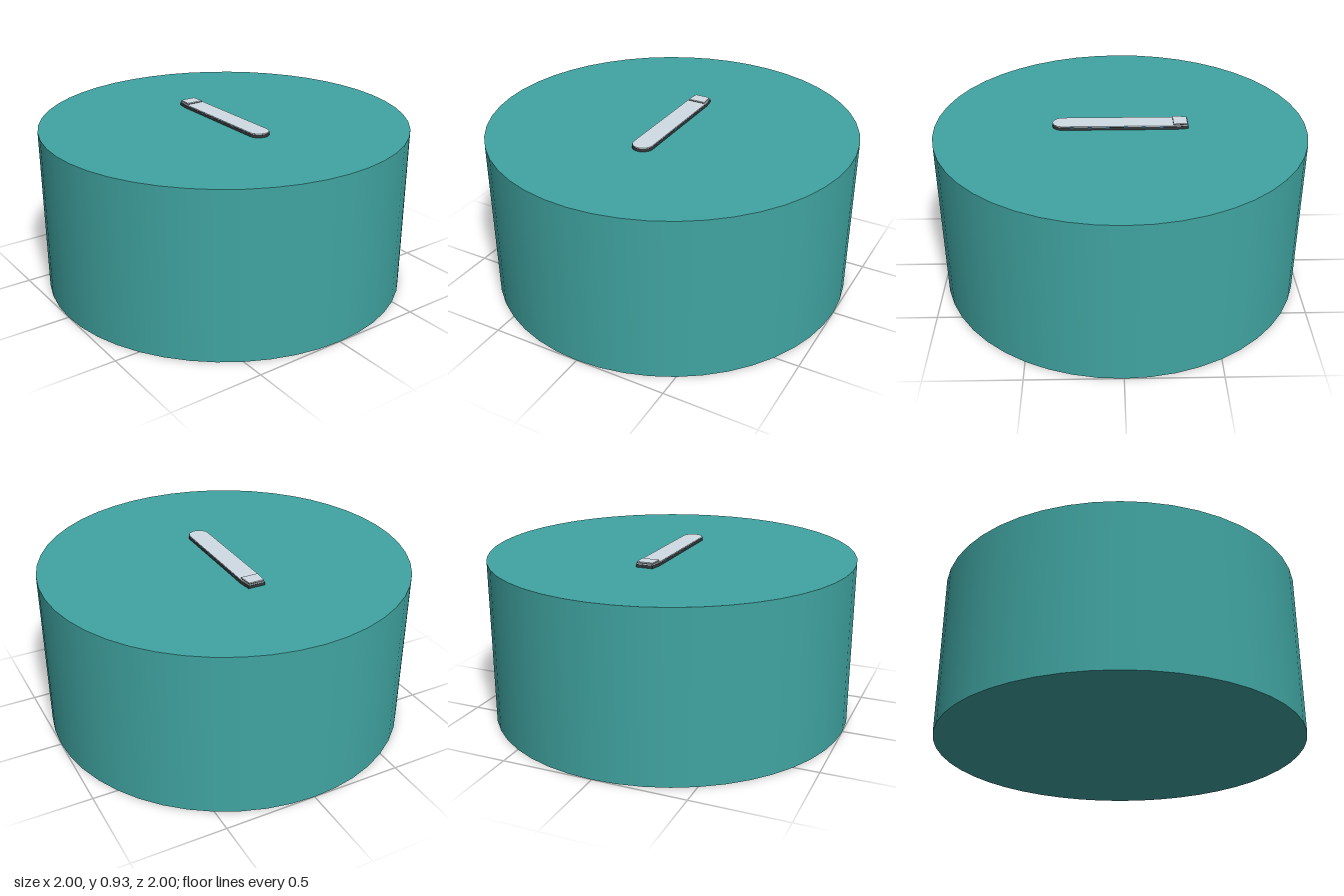
import * as THREE from 'three';

const mat = (color) => new THREE.MeshStandardMaterial({ color });
const WATER = 0.9; // height of the water surface

// Plan outline of the barge: tapered stern at -z, round bow at +z
function outline(inset) {
  const w = 0.057 - inset, stern = 0.366 - inset;
  const s = new THREE.Shape();
  s.moveTo(0.047 - inset, stern); // shape y is -z
  s.lineTo(-0.047 + inset, stern);
  s.lineTo(-w, 0.3);
  s.lineTo(-w, -0.308);
  s.absarc(0, -0.308, w, Math.PI, Math.PI * 2, false);
  s.lineTo(w, 0.3);
  s.closePath();
  return s;
}

// Flat slab extruded upwards from height y
function slab(name, shape, y, height, material) {
  const geo = new THREE.ExtrudeGeometry(shape, { depth: height, bevelEnabled: false, curveSegments: 16 });
  geo.rotateX(-Math.PI / 2);
  const mesh = new THREE.Mesh(geo, material);
  mesh.name = name;
  mesh.position.y = y;
  return mesh;
}

export function createModel() {
  const model = new THREE.Group();
  model.name = 'bargeOnWater';

  // Round block of water
  const water = new THREE.Mesh(new THREE.CylinderGeometry(1, 1, WATER, 48), mat(0x40a5a2));
  water.name = 'waterBlock';
  water.position.y = WATER / 2;
  model.add(water);

  const barge = new THREE.Group();
  barge.name = 'barge';
  model.add(barge);
  const dark = mat(0x34383b), pale = mat(0xd0dce4), blue = mat(0x2f6f9f);

  // Hull and the roof that covers most of it
  barge.add(slab('hull', outline(0), WATER, 0.016, dark));
  barge.add(slab('roof', outline(0.002), WATER + 0.016, 0.005, pale));

  // Raised stern cabin
  const cabin = new THREE.Shape([
    new THREE.Vector2(-0.048, 0.285), new THREE.Vector2(0.048, 0.285),
    new THREE.Vector2(0.042, 0.36), new THREE.Vector2(-0.042, 0.36),
  ]);
  barge.add(slab('sternCabin', cabin, WATER + 0.021, 0.004, dark));
  barge.add(slab('sternCabinRoof', cabin, WATER + 0.025, 0.004, pale));

  // Small windows along both sides
  const windowGeo = new THREE.BoxGeometry(0.003, 0.007, 0.018);
  for (const side of [-1, 1]) {
    for (let i = 0; i < 6; i++) {
      const pane = new THREE.Mesh(windowGeo, blue);
      pane.name = 'sideWindow';
      pane.position.set(side * 0.0565, WATER + 0.0145, -0.22 + i * 0.096);
      barge.add(pane);
    }
  }
  return model;
}
